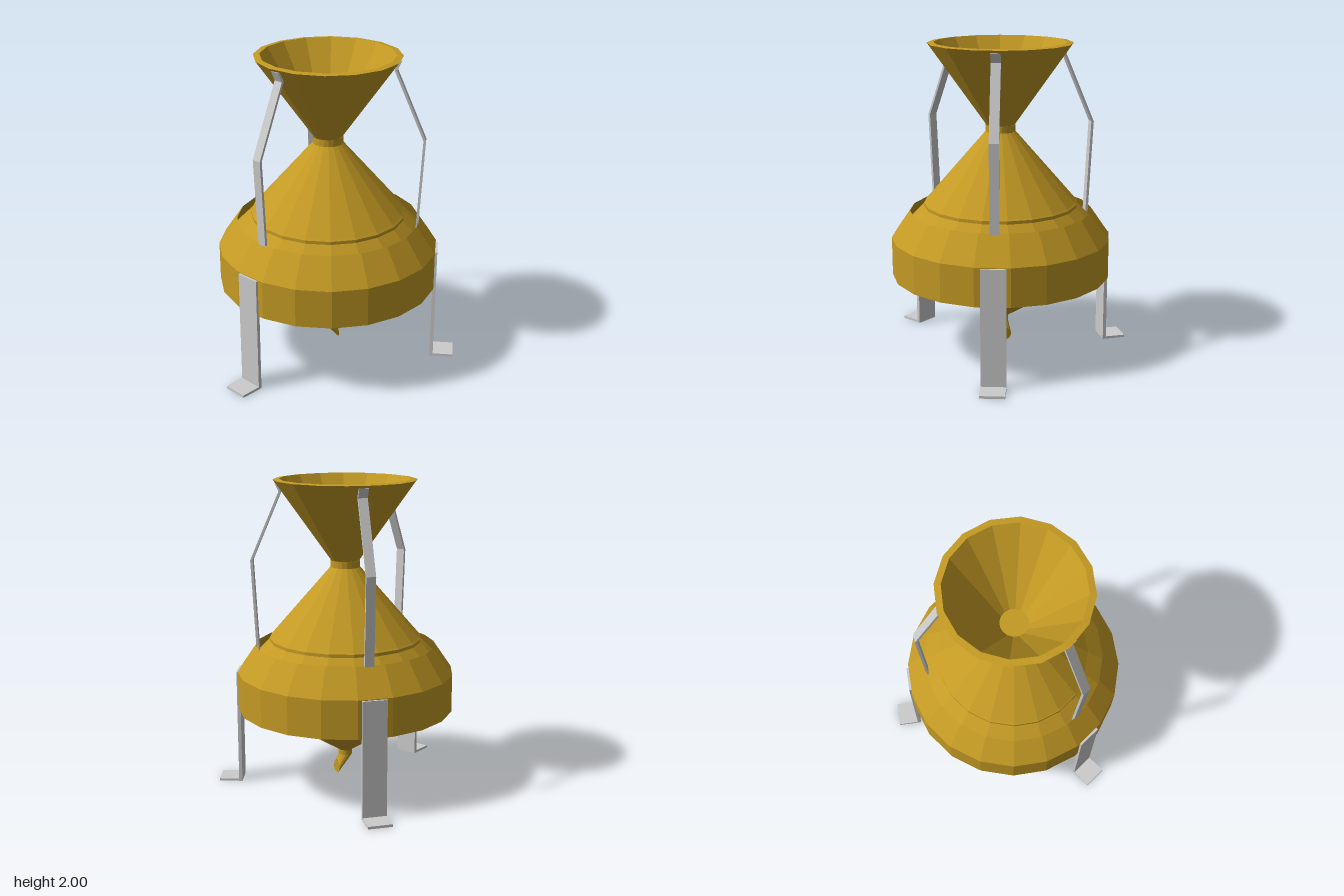
import * as THREE from 'three';

const gold = new THREE.MeshStandardMaterial({ color: 0xc49a24, flatShading: true, side: THREE.DoubleSide });
const grey = new THREE.MeshStandardMaterial({ color: 0xcccccc, flatShading: true, side: THREE.DoubleSide });

function part(name, geometry, material, parent) {
  const mesh = new THREE.Mesh(geometry, material);
  mesh.name = name;
  parent.add(mesh);
  return mesh;
}

function lathe(name, points, sides, parent) {
  const profile = points.map(([r, y]) => new THREE.Vector2(r, y));
  return part(name, new THREE.LatheGeometry(profile, sides), gold, parent);
}

// Slanted outlet: a tube from a level top ring to an upright end ring
function spoutGeometry() {
  const g = new THREE.CylinderGeometry(1, 1, 1, 16, 1, true);
  const p = g.attributes.position;
  const r = 0.045;
  for (let i = 0; i < p.count; i++) {
    const x = p.getX(i), z = p.getZ(i);
    if (p.getY(i) > 0) p.setXYZ(i, r * x, 0.18, r * z);
    else p.setXYZ(i, 0.063 - 0.004 * x, 0.096 + r * x, r * z);
  }
  g.computeVertexNormals();
  return g;
}

// Bent flat bar: side outline in radius and height, extruded across its width
function strapGeometry() {
  const path = [[0.56, 0.88], [0.59, 1.48], [0.402, 1.92], [0.43, 1.98]];
  const t = 0.016, width = 0.06;
  const outline = [...path, ...path.map(([r, y]) => [r + t, y]).reverse()];
  const shape = new THREE.Shape(outline.map(([r, y]) => new THREE.Vector2(r, y)));
  const g = new THREE.ExtrudeGeometry(shape, { depth: width, bevelEnabled: false });
  g.translate(0, 0, -width / 2);
  return g;
}

export function createModel() {
  const model = new THREE.Group();
  model.name = 'hopper';
  const root = new THREE.Group();
  root.name = 'assembly';
  root.position.set(0.005, 0, 0.07);
  model.add(root);

  // Round vessel, open inside the upper bevel
  lathe('body', [[0.52, 0.515], [0.7, 0.515], [0.7, 0.76], [0.58, 0.935]], 20, root);
  lathe('lowerCone', [[0.04, 0.21], [0.52, 0.515]], 20, root);
  // Upper cone with a low band near its foot, running down inside the body
  lathe('upperCone', [[0.69, 0.76], [0.495, 0.96], [0.49, 0.965], [0.49, 0.985],
    [0.48, 0.995], [0.095, 1.44]], 20, root);
  lathe('neck', [[0.095, 1.44], [0.095, 1.485]], 20, root);

  // Feed funnel with a thin rim and a closed bottom
  lathe('funnel', [[0.092, 1.485], [0.455, 1.995], [0.415, 2], [0.09, 1.5], [0, 1.5]], 16, root);

  // Outlet
  const collar = part('outletCollar', new THREE.CylinderGeometry(0.045, 0.045, 0.035, 16), gold, root);
  collar.position.y = 0.197;
  part('outletSpout', spoutGeometry(), gold, root);
  const cap = part('outletEnd', new THREE.CircleGeometry(0.045, 16), gold, root);
  cap.rotation.y = Math.PI / 2;
  cap.position.set(0.063, 0.096, 0);

  // Three legs and straps around the vessel
  [-26.5, 80.5, 206.5].forEach((deg) => {
    const support = new THREE.Group();
    support.name = 'support';
    support.rotation.y = THREE.MathUtils.degToRad(deg);
    root.add(support);
    const leg = part('leg', new THREE.BoxGeometry(0.022, 0.755, 0.155), grey, support);
    leg.position.set(0.695, 0.3775, 0);
    const foot = part('foot', new THREE.BoxGeometry(0.15, 0.016, 0.155), grey, support);
    foot.position.set(0.761, 0.008, 0);
    part('strap', strapGeometry(), grey, support);
  });

  return model;
}
